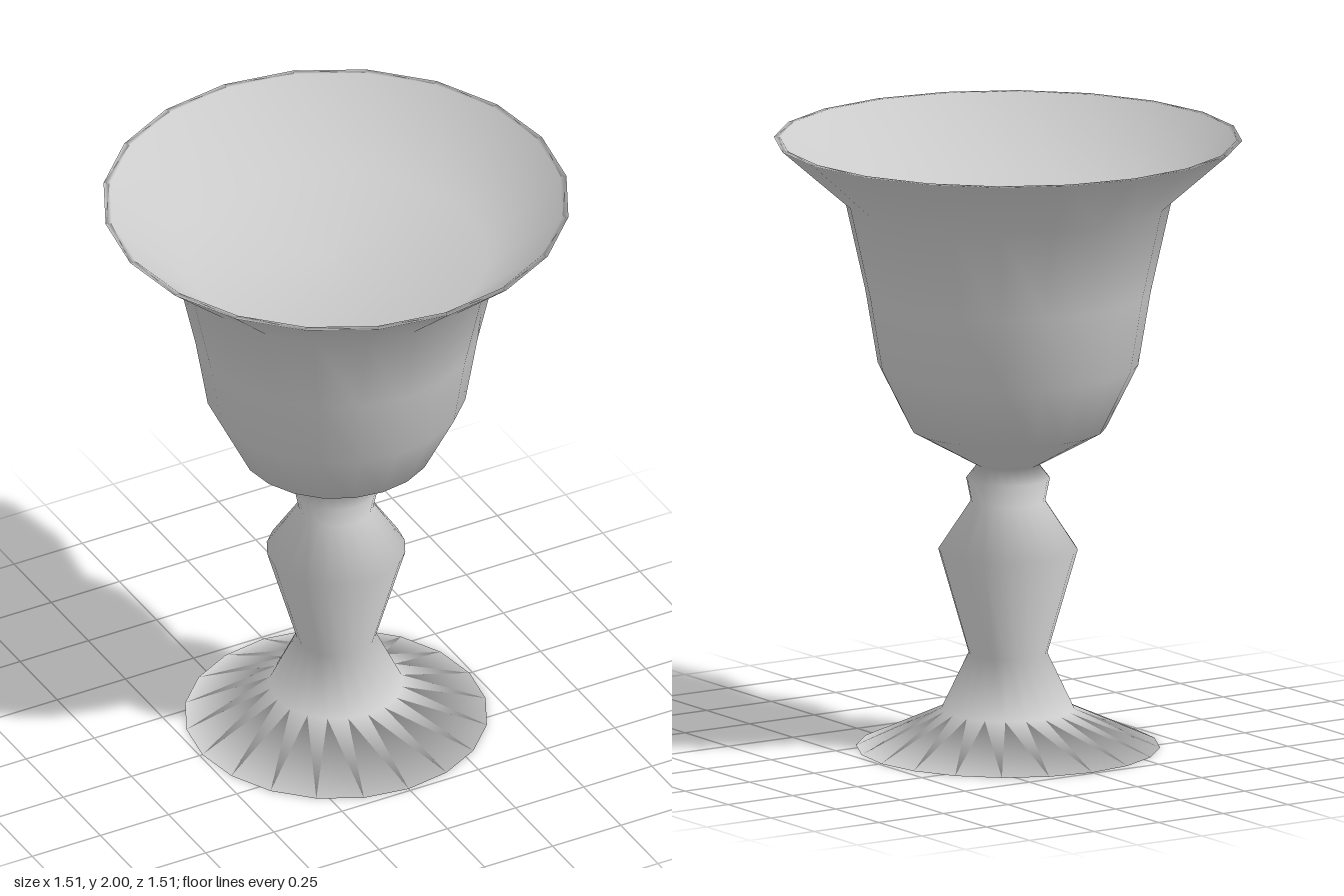
import * as THREE from 'three';

const SIDES = 20;
const material = new THREE.MeshStandardMaterial({ color: 0xcccccc });

// Turned part from a [radius, height] profile, smooth along its length
function turned(name, profile) {
  const points = profile.map(([r, y]) => new THREE.Vector2(r, y));
  const mesh = new THREE.Mesh(new THREE.LatheGeometry(points, SIDES), material);
  mesh.name = name;
  return mesh;
}

export function createModel() {
  const goblet = new THREE.Group();
  goblet.name = 'goblet';

  // One continuous skin: closed foot, baluster stem, flared bowl, rim and shallow inside
  const foot = [[0, 0], [0.49, 0], [0.215, 0.125]];
  const stem = [[0.127, 0.31], [0.225, 0.65], [0.12, 0.81], [0.135, 0.885], [0.1, 0.93]];
  const bowl = [[0.315, 1.05], [0.42, 1.26], [0.46, 1.5], [0.527, 1.8], [0.755, 2]];
  const inside = [[0.735, 2], [0.49, 1.78], [0, 1.77]];

  goblet.add(turned('gobletBody', [...foot, ...stem, ...bowl, ...inside]));
  return goblet;
}
